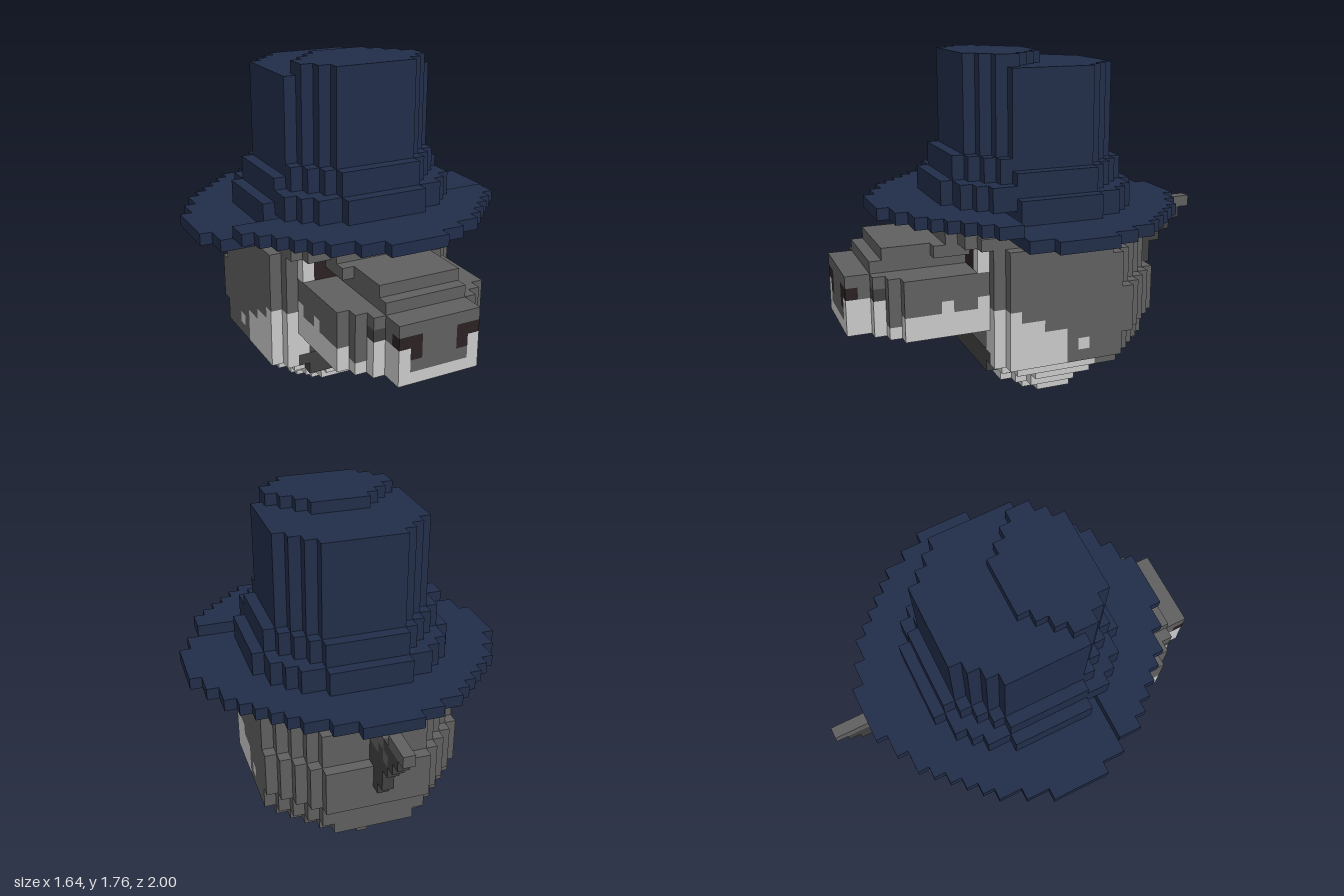
import * as THREE from 'three';

const U = 2 / 33; // edge of one block
const COLORS = { navy: 0x212d49, grey: 0x606060, pale: 0xcacaca, charcoal: 0x404040, darkBrown: 0x2b2122 };

export function createModel() {
  const cells = new Map();
  const key = (x, y, z) => `${x},${y},${z}`;
  const put = (part, color, x, y, z) => cells.set(key(x, y, z), { part, color, p: [x, y, z] });
  const cut = (x, y, z) => cells.delete(key(x, y, z));
  // Visit every block of an inclusive range
  const each = (x0, x1, y0, y1, z0, z1, fn) => {
    for (let x = x0; x <= x1; x++)
      for (let y = y0; y <= y1; y++)
        for (let z = z0; z <= z1; z++) fn(x, y, z);
  };
  const fill = (part, color, ...range) => each(...range, (x, y, z) => put(part, color, x, y, z));

  // Pale fur starts further back the lower it is
  const paleFrom = [-3, -3, -5, -3, 0, 1, 1, 2, 4];
  const fur = (x, y, z) => {
    const spot = (y === 5 && (z === 0 || z === -2)) || (y === 6 && z === 0);
    return spot || (y < 9 && z >= paleFrom[y]) ? 'pale' : 'grey';
  };

  // Head: chamfered layers given by half width, back reach and front reach
  const half = [4, 5, 6, 7, 8, 8, 8, 8, 8, 8, 8, 8, 8, 8, 7, 6];
  const back = [6, 6, 7, 9, 9, 9, 10, 10, 10, 10, 9, 9, 9, 8, 7, 6];
  const front = [1, 3, 4, 5, 5, 5, 5, 6, 6, 6, 6, 6, 6, 6, 7, 7];
  half.forEach((w, y) => each(-w, w, y, y, -back[y], front[y], (x, _, z) => {
    const a = Math.abs(x);
    const slack = y < 3 ? 3 : y === 3 ? 5 : y < 7 ? 7 : 6;
    if (a - z <= w + back[y] - 4 && a + z <= front[y] + slack) put('head', fur(x, y, z), x, y, z);
  }));

  // Open mouth with dark lining
  fill('mouth', 'charcoal', -5, 5, 3, 4, 3, 5);
  fill('mouth', 'charcoal', -5, 5, 5, 6, 2, 2);
  each(-5, 5, 5, 6, 3, 5, cut);
  for (const s of [-1, 1]) put('mouth', 'charcoal', 6 * s, 4, 5);

  // Muzzle: tapering plan, dark palate underneath
  const muzzleHalf = (z) => (z > 16 ? -1 : z > 14 ? 3 : z > 13 ? 4 : z > 12 ? 5 : 6);
  each(-6, 6, 7, 11, 5, 16, (x, y, z) => {
    const a = Math.abs(x);
    if (a > muzzleHalf(z)) return;
    const palate = y === 7 && a < muzzleHalf(z + 1) && a < 6;
    put('muzzle', palate ? 'charcoal' : y < 9 ? 'pale' : 'grey', x, y, z);
  });
  fill('muzzle', 'grey', -3, 3, 12, 12, 6, 14);
  fill('muzzle', 'grey', -3, 3, 13, 13, 6, 13);
  fill('muzzle', 'grey', -4, 4, 13, 13, 7, 9);
  fill('muzzle', 'grey', -2, 2, 8, 8, 16, 16);

  // Brow above the eyes
  fill('brow', 'grey', -4, 4, 14, 14, 7, 8);
  fill('brow', 'grey', -6, 6, 15, 15, 5, 7);

  for (const s of [-1, 1]) {
    // Eyes
    for (const y of [12, 13]) {
      put('eye', 'darkBrown', 4 * s, y, 6);
      put('eye', 'darkBrown', 5 * s, y, 6);
      put('eye', 'pale', 6 * s, y, 6);
    }
    // Nostrils and the markings beside them
    put('nostril', 'darkBrown', 2 * s, 9, 16);
    put('nostril', 'darkBrown', 2 * s, 10, 16);
    put('nostril', 'darkBrown', 3 * s, 10, 16);
    put('muzzle', 'charcoal', 4 * s, 10, 14);
    put('muzzle', 'pale', 3 * s, 9, 16);
    put('muzzle', 'pale', 3 * s, 9, 15);
    put('muzzle', 'pale', 4 * s, 9, 14);
    put('muzzle', 'grey', 5 * s, 8, 13);
    put('muzzle', 'pale', 6 * s, 9, 9);
    put('muzzle', 'pale', 6 * s, 9, 6);
  }

  // Thin crest behind the head
  [-11, -12, -12, -13, -14, -15].forEach((end, i) => {
    const y = 8 + i, greyTo = [-10, -10, -9, -9, -11, -12][i];
    for (let z = -9; z >= end; z--) put('crest', z >= greyTo ? 'grey' : 'charcoal', 0, y, z);
  });
  put('crest', 'grey', 0, 12, -13);
  fill('crest', 'grey', 0, 0, 14, 14, -16, -14);

  // Hat: round layers whose front section sits one block higher
  const layer = (part, widths, y0, y1, raiseFrom) => widths.forEach((w, k) => {
    for (const z of [-k, k]) {
      const lift = z >= raiseFrom ? 1 : 0;
      fill(part, 'navy', -w, w, y0 + lift, y1 + lift, z, z);
    }
  });
  layer('hatBrim', [13, 13, 13, 12, 12, 11, 11, 10, 9, 8, 7, 6, 4, 2], 15, 15, 5);
  layer('hatBase', [8, 8, 8, 8, 7, 7, 6, 5, 3], 16, 17, 4);
  layer('hatBase', [7, 7, 7, 7, 6, 5, 4, 3], 18, 19, 4);
  layer('hatCrown', [6, 6, 6, 6, 5, 4, 3], 20, 27, 4);
  [2, 3, 4, 5, 5, 4, 3].forEach((w, z) => fill('hatCrown', 'navy', -w, w, 28, 28, z, z));

  return buildBlocks(cells, key);
}

// Turn blocks into outer faces, one mesh per part and colour
function buildBlocks(cells, key) {
  const materials = {};
  for (const [name, color] of Object.entries(COLORS)) {
    materials[name] = new THREE.MeshStandardMaterial({ color });
    materials[name].name = name;
  }
  const faces = {};
  for (const { part, color, p } of cells.values()) {
    const list = ((faces[part] ??= {})[color] ??= []);
    for (let a = 0; a < 3; a++) for (const s of [-1, 1]) {
      const n = [...p];
      n[a] += s;
      if (cells.has(key(...n))) continue;
      const corners = [[0, 0], [1, 0], [1, 1], [0, 1]].map(([u, v]) => {
        const c = [p[0] - 0.5, p[1], p[2] - 0.5];
        if (s > 0) c[a] += 1;
        c[(a + 1) % 3] += u;
        c[(a + 2) % 3] += v;
        return c.map((t) => t * U);
      });
      if (s < 0) corners.reverse();
      for (const i of [0, 1, 2, 0, 2, 3]) list.push(...corners[i]);
    }
  }
  const model = new THREE.Group();
  model.name = 'hattedHead';
  for (const [part, byColor] of Object.entries(faces)) {
    const group = new THREE.Group();
    group.name = part;
    for (const [color, points] of Object.entries(byColor)) {
      if (!points.length) continue;
      const geometry = new THREE.BufferGeometry();
      geometry.setAttribute('position', new THREE.Float32BufferAttribute(points, 3));
      geometry.computeVertexNormals();
      const mesh = new THREE.Mesh(geometry, materials[color]);
      mesh.name = `${part} ${color}`;
      group.add(mesh);
    }
    model.add(group);
  }
  return model;
}
